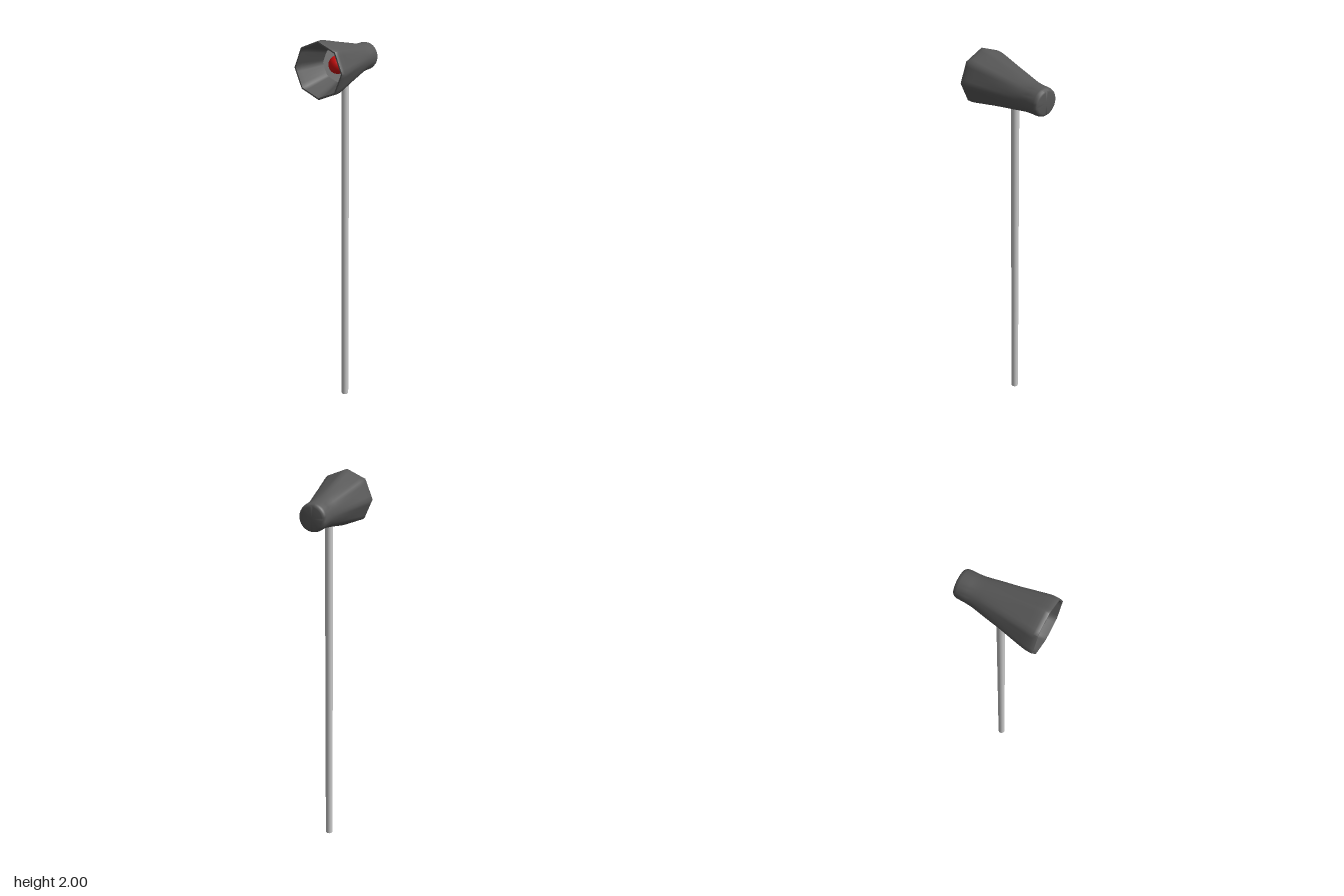
import * as THREE from 'three';
import { toCreasedNormals } from 'three/addons/utils/BufferGeometryUtils.js';

const AXIS_Y = 1.868;

// Lathe around z whose round back blends into an octagonal mouth
function hornGeometry(profile) {
  const points = profile.map(([z, r]) => new THREE.Vector2(r, z));
  const geometry = new THREE.LatheGeometry(points, 40);
  const pos = geometry.attributes.position;
  const step = Math.PI / 4;
  for (let i = 0; i < pos.count; i++) {
    const x = pos.getX(i), y = pos.getY(i), z = pos.getZ(i);
    const angle = Math.atan2(x, z) + Math.PI * 2 + 1e-6;
    const octagon = Math.cos(step / 2) / Math.cos((angle % step) - step / 2);
    const k = THREE.MathUtils.lerp(1, octagon, THREE.MathUtils.smoothstep(y, -0.18, 0.15));
    pos.setXYZ(i, x * k, y, z * k);
  }
  geometry.rotateX(Math.PI / 2);
  return toCreasedNormals(geometry, 0.9);
}

export function createModel() {
  const group = new THREE.Group();
  const add = (name, geometry, color, y, z, side = THREE.FrontSide) => {
    const mesh = new THREE.Mesh(geometry, new THREE.MeshStandardMaterial({ color, side }));
    mesh.name = name;
    mesh.position.set(0, y, z);
    group.add(mesh);
    return mesh;
  };

  // Upright post, ending inside the shade
  add('pole', new THREE.CylinderGeometry(0.019, 0.019, 1.8, 16), 0xcccccc, 0.9, -0.014);

  // Shade: closed back, flared outside, thin rim, tapered inside
  add('shade', hornGeometry([
    [-0.207, 0], [-0.207, 0.05], [-0.205, 0.058], [-0.199, 0.063], [-0.188, 0.066],
    [-0.145, 0.067], [-0.115, 0.07], [-0.085, 0.076], [-0.04, 0.086], [0.03, 0.101],
    [0.1, 0.117], [0.145, 0.127], [0.17, 0.132], [0.185, 0.133], [0.202, 0.133],
    [0.205, 0.131], [0.205, 0.124], [0.17, 0.119], [0.045, 0.08],
  ]), 0x585858, AXIS_Y, 0, THREE.DoubleSide);

  // Pale reflector plate inside the shade
  add('reflector', new THREE.CircleGeometry(0.083, 8), 0xcccccc, AXIS_Y, 0.05);

  // Red bulb
  add('bulb', new THREE.SphereGeometry(0.042, 24, 16), 0xd01010, AXIS_Y, 0.05);

  return group;
}
